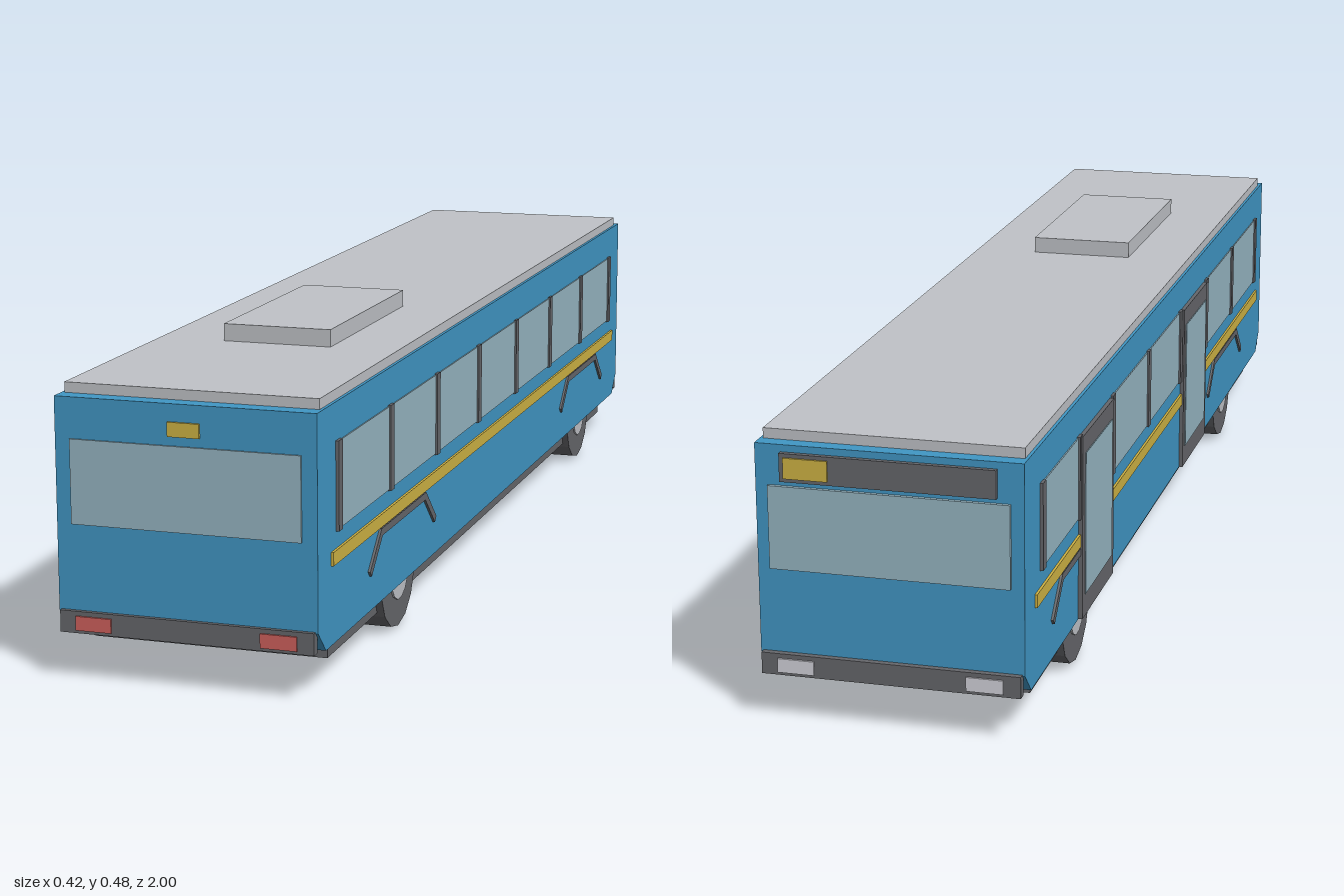
import * as THREE from 'three';

const mat = (name, color) => {
  const m = new THREE.MeshStandardMaterial({ color });
  m.name = name;
  return m;
};

export function createModel() {
  const blue = mat('bodyBlue', 0x4197c5);
  const grey = mat('roofGrey', 0xc0c3c8);
  const dark = mat('trimGrey', 0x66676b);
  const glass = mat('glass', 0x97b6c3);
  const yellow = mat('stripeYellow', 0xd0b444);
  const red = mat('tailLampRed', 0xd0605c);
  const white = mat('headLampWhite', 0xd2d3da);

  const bus = new THREE.Group();
  bus.name = 'bus';

  const add = (name, geo, material, parent = bus) => {
    const mesh = new THREE.Mesh(geo, material);
    mesh.name = name;
    parent.add(mesh);
    return mesh;
  };
  // box given by its limits on each axis
  const box = (name, material, x0, x1, y0, y1, z0, z1) => {
    const geo = new THREE.BoxGeometry(Math.abs(x1 - x0), y1 - y0, Math.abs(z1 - z0));
    return add(name, geo, material).position.set((x0 + x1) / 2, (y0 + y1) / 2, (z0 + z1) / 2);
  };
  const W = 0.205; // half body width

  // plate on a side wall: s = +1 left, -1 right
  const sidePlate = (name, material, s, z0, z1, y0, y1, t) =>
    box(name, material, s * (W - 0.002), s * (W + t), y0, y1, z0, z1);

  // body shell with cut lower corners
  const outline = new THREE.Shape([
    [0.955, 0.069], [0.99, 0.105], [0.99, 0.433], [-0.987, 0.433], [-0.987, 0.105], [-0.952, 0.069],
  ].map(([z, y]) => new THREE.Vector2(z, y)));
  const shell = new THREE.ExtrudeGeometry(outline, { depth: 2 * W, bevelEnabled: false });
  shell.translate(0, 0, -W).rotateY(-Math.PI / 2);
  add('body', shell, blue);

  // roof, roof unit and underfloor
  box('roof', grey, -0.2, 0.2, 0.43, 0.449, -0.963, 0.963);
  box('roofUnit', grey, -0.09, 0.09, 0.445, 0.477, 0.2, 0.59);
  box('underfloor', dark, -0.188, 0.188, 0.039, 0.08, -0.895, 0.9);

  // wheels with hub caps
  for (const z of [0.582, -0.655]) for (const s of [1, -1]) {
    const wheel = new THREE.Group();
    wheel.name = 'wheel';
    wheel.position.set(s * 0.175, 0.088, z);
    const tyre = new THREE.CylinderGeometry(0.09, 0.09, 0.05, 14).toNonIndexed();
    tyre.rotateY(Math.PI / 14).rotateZ(Math.PI / 2);
    tyre.computeVertexNormals();
    add('tyre', tyre, dark, wheel);
    const hub = new THREE.CylinderGeometry(0.045, 0.045, 0.006, 14);
    hub.rotateZ(Math.PI / 2).translate(s * 0.025, 0, 0);
    add('hubCap', hub, grey, wheel);
    bus.add(wheel);
  }

  // side windows: panes between pillars, one run per stretch of wall
  const windowRun = (s, z0, z1, panes) => {
    sidePlate('sideWindows', glass, s, z0, z1, 0.24, 0.373, 0.002);
    for (let i = 0; i <= panes; i++) {
      const z = z0 + (z1 - z0) * i / panes;
      sidePlate('windowPillar', dark, s, z - 0.009, z + 0.009, 0.238, 0.375, 0.005);
    }
  };
  windowRun(1, -0.89, 0.898, 7);
  windowRun(-1, -0.89, -0.66, 1);
  windowRun(-1, -0.43, 0.118, 2);
  windowRun(-1, 0.365, 0.898, 2);

  // yellow waist stripe, broken by the doors
  const stripe = (s, z0, z1) => sidePlate('waistStripe', yellow, s, z0, z1, 0.191, 0.212, 0.004);
  stripe(1, -0.93, 0.93);
  stripe(-1, -0.93, -0.66);
  stripe(-1, -0.445, 0.133);
  stripe(-1, 0.348, 0.93);

  // two doors on the right wall
  for (const z of [-0.552, 0.24]) {
    sidePlate('doorFrame', dark, -1, z - 0.108, z + 0.108, 0.07, 0.373, 0.007);
    sidePlate('doorGlass', glass, -1, z - 0.092, z + 0.092, 0.107, 0.342, 0.0085);
  }

  // angular trim above each wheel
  for (const s of [1, -1]) for (const zc of [0.576, -0.655]) {
    const pts = [[-0.173, 0.132], [-0.118, 0.183], [0.118, 0.183], [0.173, 0.132]];
    for (let i = 0; i < 3; i++) {
      const [za, ya] = pts[i], [zb, yb] = pts[i + 1];
      const len = Math.hypot(zb - za, yb - ya) + 0.006;
      const bar = add('archTrim', new THREE.BoxGeometry(0.006, 0.012, len), dark);
      bar.position.set(s * (W + 0.001), (ya + yb) / 2, zc + (za + zb) / 2);
      bar.rotation.x = -Math.atan2(yb - ya, zb - za);
    }
  }

  // both ends: window, bumper and lamps
  for (const [e, lamp, name, w] of [[1, red, 'tailLamp', 0.181], [-1, white, 'headLamp', 0.185]]) {
    box('endWindow', glass, -w, w, 0.24, 0.37, e * 0.98, e * 0.993);
    box('bumper', dark, -0.201, 0.201, 0.073, 0.107, e * 0.982, e * 0.997);
    for (const s of [1, -1]) box(name, lamp, s * 0.118, s * 0.175, 0.078, 0.1, e * 0.99, e * 1.0);
  }

  // route signs
  box('smallSign', yellow, -0.025, 0.025, 0.384, 0.406, 0.985, 0.994);
  box('signBand', dark, -0.165, 0.165, 0.378, 0.422, -0.995, -0.98);
  box('routeNumber', yellow, 0.09, 0.158, 0.384, 0.416, -0.998, -0.99);

  return bus;
}
